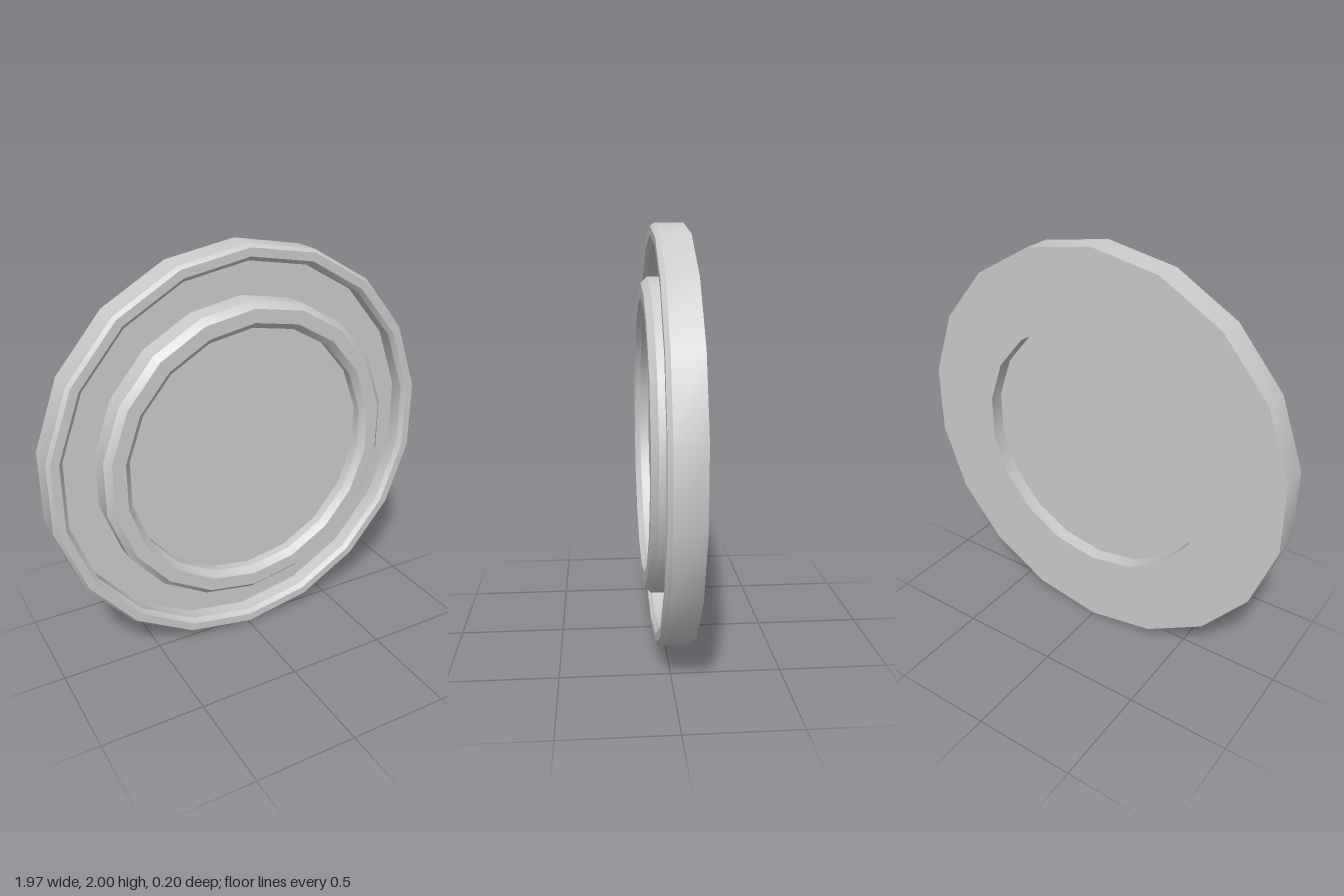
import * as THREE from 'three';
import { toCreasedNormals } from 'three/addons/utils/BufferGeometryUtils.js';

const SIDES = 18;

export function createModel() {
  const group = new THREE.Group();
  group.name = 'roundPlate';
  const material = new THREE.MeshStandardMaterial({ color: 0xcccccc });

  // Spins a [radius, depth] profile about z; rounded around, crisp at profile corners
  const addTurned = (name, profile) => {
    const points = profile.map(([r, z]) => new THREE.Vector2(r, z));
    const geometry = new THREE.LatheGeometry(points, SIDES).rotateX(Math.PI / 2);
    const mesh = new THREE.Mesh(toCreasedNormals(geometry, THREE.MathUtils.degToRad(26)), material);
    mesh.name = name;
    mesh.position.y = 1;
    group.add(mesh);
  };

  // Frame: bevelled outer rim, sunken channel, raised inner ring and open back
  addTurned('frame', [
    [0.63, -0.1], [1, -0.1], [1, 0.035], [0.985, 0.055],
    [0.945, 0.055], [0.925, 0.035], [0.925, -0.035],
    [0.755, -0.035], [0.755, 0.07], [0.725, 0.1],
    [0.66, 0.1], [0.63, 0.07], [0.63, -0.1],
  ]);

  // Flat panel closing the middle, recessed on both sides
  addTurned('centrePanel', [[0, -0.03], [0.63, -0.03], [0.63, 0.025], [0, 0.025]]);

  return group;
}
